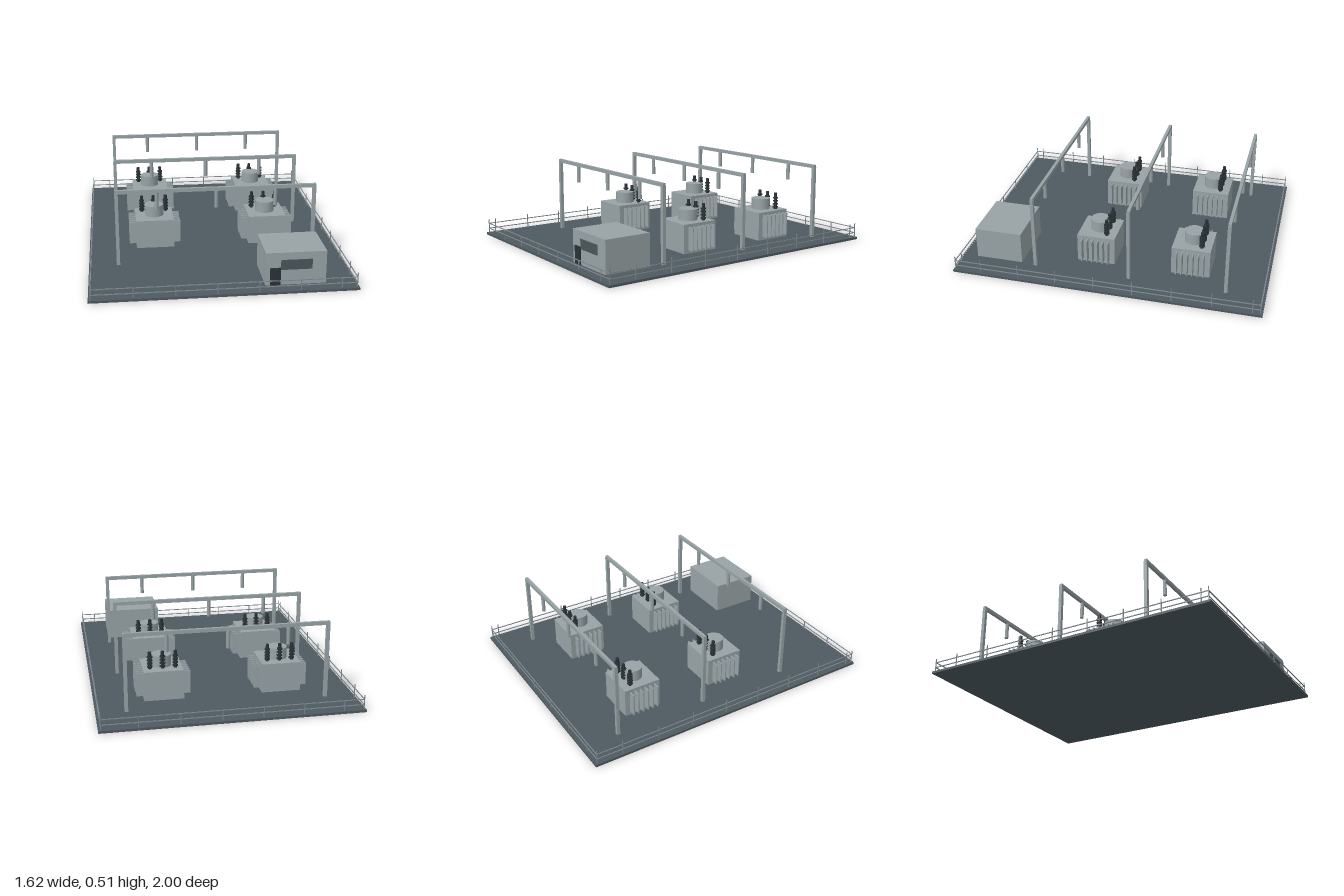
import * as THREE from 'three';

const mat = (name, color) => {
  const m = new THREE.MeshStandardMaterial({ color });
  m.name = name;
  return m;
};

export function createModel() {
  const slate = mat('slate ground', 0x4d5a60);
  const grey = mat('light grey steel', 0x98a3a6);
  const dark = mat('dark ceramic', 0x2a3235);
  const glass = mat('window glass', 0x4a565b);
  const railGrey = mat('railing grey', 0x7f8a8e);

  const root = new THREE.Group();
  root.name = 'substation';

  const group = (name, parent = root) => {
    const g = new THREE.Group();
    g.name = name;
    parent.add(g);
    return g;
  };
  const add = (parent, name, geo, material, x, y, z) => {
    const m = new THREE.Mesh(geo, material);
    m.name = name;
    m.position.set(x, y, z);
    parent.add(m);
    return m;
  };
  // Box from its centre in x and z and its bottom and top in y
  const box = (parent, name, material, w, d, y0, y1, x, z) =>
    add(parent, name, new THREE.BoxGeometry(w, y1 - y0, d), material, x, (y0 + y1) / 2, z);
  const cyl = (parent, name, material, r, y0, y1, x, z, sides = 12) =>
    add(parent, name, new THREE.CylinderGeometry(r, r, y1 - y0, sides), material, x, (y0 + y1) / 2, z);

  // Ground slab
  box(root, 'groundSlab', slate, 1.622, 2, 0, 0.015, 0, 0);

  // Perimeter fence: two rails per side, evenly spaced posts
  const fence = group('fence');
  const FX = 0.797, FZ = 0.985, T = 0.005;
  for (const s of [-1, 1]) {
    for (const y of [0.045, 0.08]) {
      box(fence, 'crossRail', railGrey, FX * 2, T, y - T / 2, y + T / 2, 0, s * FZ);
      box(fence, 'sideRail', railGrey, T, FZ * 2, y - T / 2, y + T / 2, s * FX, 0);
    }
    for (let i = 0; i < 8; i++)
      box(fence, 'sidePost', railGrey, T, T, 0.01, 0.108, s * FX, s * (0.812 - i * 0.25));
    for (const e of [-1, 1])
      box(fence, 'cornerPost', railGrey, T, T, 0.01, 0.108, s * FX, e * FZ);
  }
  for (let i = 0; i < 6; i++) {
    box(fence, 'frontPost', railGrey, T, T, 0.01, 0.08, -0.547 + i * 0.25, FZ);
    box(fence, 'backPost', railGrey, T, T, 0.01, 0.08, 0.578 - i * 0.25, -FZ);
  }

  // Gantries with three hanging insulators each
  for (const z of [0.5, -0.125, -0.75]) {
    const g = group('gantry');
    for (const s of [-1, 1]) box(g, 'gantryPost', grey, 0.022, 0.022, 0.01, 0.5, s * 0.625, z);
    box(g, 'gantryBeam', grey, 1.27, 0.02, 0.491, 0.514, 0, z);
    for (const x of [-0.375, 0, 0.375]) cyl(g, 'hanger', grey, 0.0125, 0.38, 0.495, x, z, 8);
  }

  // Transformers
  const makeTransformer = (x, z) => {
    const g = group('transformer');
    g.position.set(x, 0, z);
    box(g, 'tank', grey, 0.25, 0.25, 0.01, 0.205, 0, 0);
    cyl(g, 'conservator', grey, 0.0625, 0.2, 0.278, 0, 0, 24);
    // Cooling fins on both sides
    for (const s of [-1, 1])
      for (let i = 0; i < 6; i++)
        box(g, 'coolingFin', grey, 0.05, 0.007, 0.037, 0.187, s * 0.145, (i - 2.5) * 0.035);
    // Ribbed bushings
    for (const bx of [-0.08, 0, 0.08]) {
      const b = group('bushing', g);
      cyl(b, 'bushingCore', dark, 0.011, 0.2, 0.316, bx, -0.0625);
      for (let i = 0; i < 4; i++)
        cyl(b, 'bushingRib', dark, 0.018, 0.215 + i * 0.021, 0.223 + i * 0.021, bx, -0.0625);
    }
  };
  for (const x of [-0.375, 0.375]) for (const z of [0.125, -0.5]) makeTransformer(x, z);

  // Control building with door and window
  const building = group('controlBuilding');
  box(building, 'buildingWalls', grey, 0.372, 0.31, 0.005, 0.225, 0.436, 0.75);
  box(building, 'door', dark, 0.065, 0.008, 0.015, 0.128, 0.31, 0.907);
  box(building, 'window', glass, 0.192, 0.006, 0.114, 0.178, 0.439, 0.906);

  return root;
}
